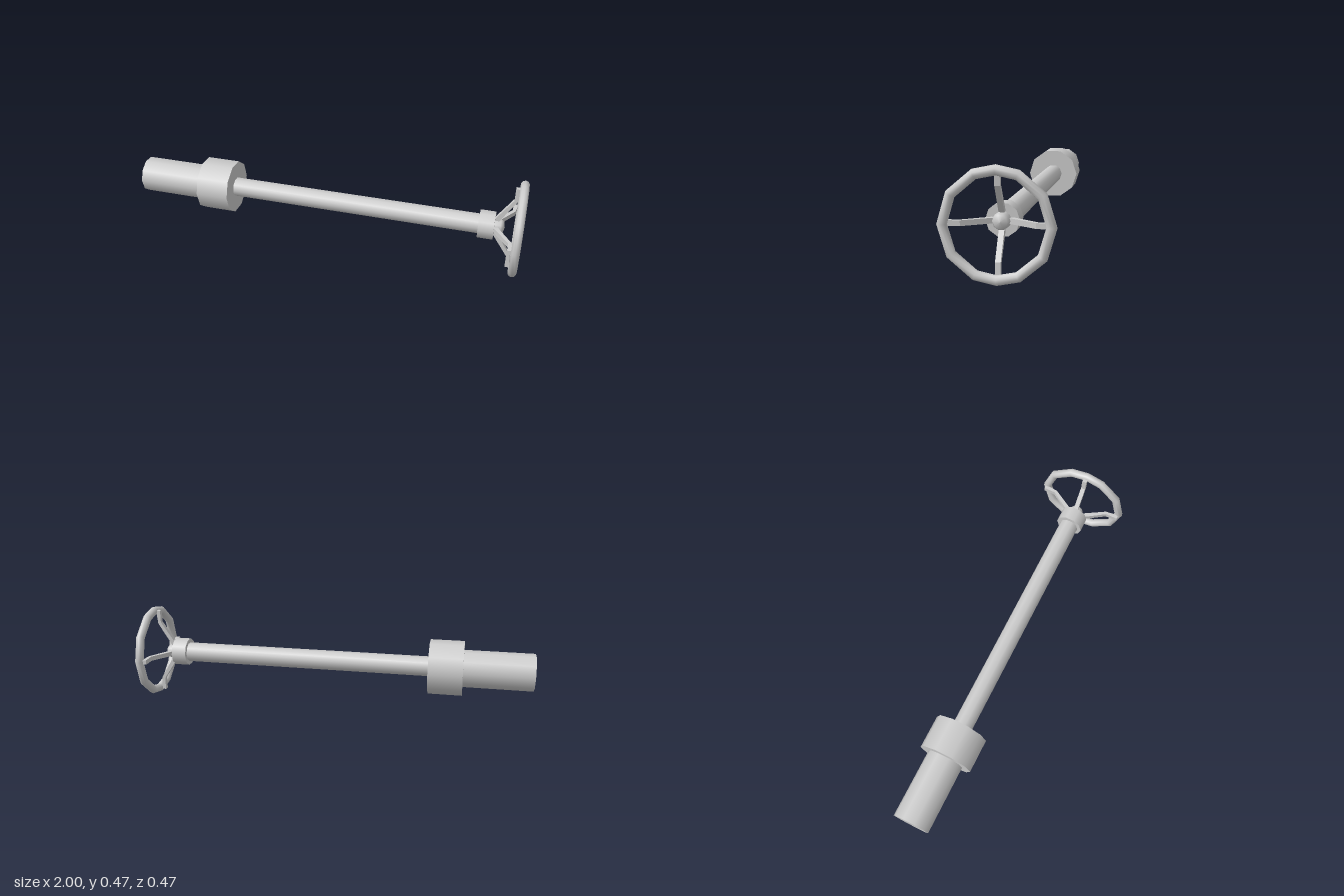
import * as THREE from 'three';

const AXIS_Y = 0.236;

export function createModel() {
  const group = new THREE.Group();
  const material = new THREE.MeshStandardMaterial({ color: 0xcccccc });

  function add(name, geometry) {
    const mesh = new THREE.Mesh(geometry, material);
    mesh.name = name;
    mesh.position.y = AXIS_Y;
    group.add(mesh);
    return mesh;
  }

  // Ten-sided round part lying along x, from x0 to x1
  function round(name, radius, x0, x1) {
    const geometry = new THREE.CylinderGeometry(radius, radius, x1 - x0, 10);
    geometry.rotateZ(-Math.PI / 2).translate((x0 + x1) / 2, 0, 0);
    add(name, geometry);
  }

  round('endSleeve', 0.093, -1, -0.655);
  round('coupling', 0.137, -0.655, -0.485);
  round('shaft', 0.05, -0.485, 0.79);
  round('collar', 0.071, 0.79, 0.865);

  // Hub nut with a chamfered, slightly domed end
  const nutProfile = [[0.037, 0.865], [0.036, 0.895], [0.028, 0.908], [0, 0.914]];
  const nut = new THREE.LatheGeometry(nutProfile.map(([r, x]) => new THREE.Vector2(r, x)), 10);
  add('hubNut', nut.rotateZ(-Math.PI / 2));

  // Handwheel rim: twelve-sided ring, corners shifted to 0, 33, 67, 90 degrees in each quarter
  const rim = new THREE.TorusGeometry(0.216, 0.0215, 10, 12);
  for (const attribute of [rim.attributes.position, rim.attributes.normal]) {
    for (let i = 0; i < attribute.count; i++) {
      const step = i % 13;
      const shift = THREE.MathUtils.degToRad([0, 3.3, 6.7][step % 3]);
      const turn = step % 3 === 0 ? 0 : (Math.floor(step / 3) % 2 ? -1 : 1);
      // Mirror the shift in alternate quarters so the corners stay symmetric
      const angle = turn < 0 ? -THREE.MathUtils.degToRad([0, 6.7, 3.3][step % 3]) : turn * shift;
      const x = attribute.getX(i), y = attribute.getY(i);
      attribute.setXY(i, x * Math.cos(angle) - y * Math.sin(angle), x * Math.sin(angle) + y * Math.cos(angle));
    }
  }
  add('wheelRim', rim.rotateY(Math.PI / 2).translate(0.9785, 0, 0));

  // Four bent flat spokes: a slanted strip ending in a tab behind the rim
  const spokeShape = new THREE.Shape([
    [0.855, 0.02], [0.875, 0.02], [0.955, 0.15], [0.962, 0.22], [0.94, 0.22], [0.94, 0.157], [0.855, 0.032],
  ].map(([x, y]) => new THREE.Vector2(x, y)));
  const spoke = new THREE.ExtrudeGeometry(spokeShape, { depth: 0.023, bevelEnabled: false });
  spoke.translate(0, 0, -0.0115);
  for (let i = 0; i < 4; i++) add('spoke' + (i + 1), spoke).rotation.x = i * Math.PI / 2;

  return group;
}
